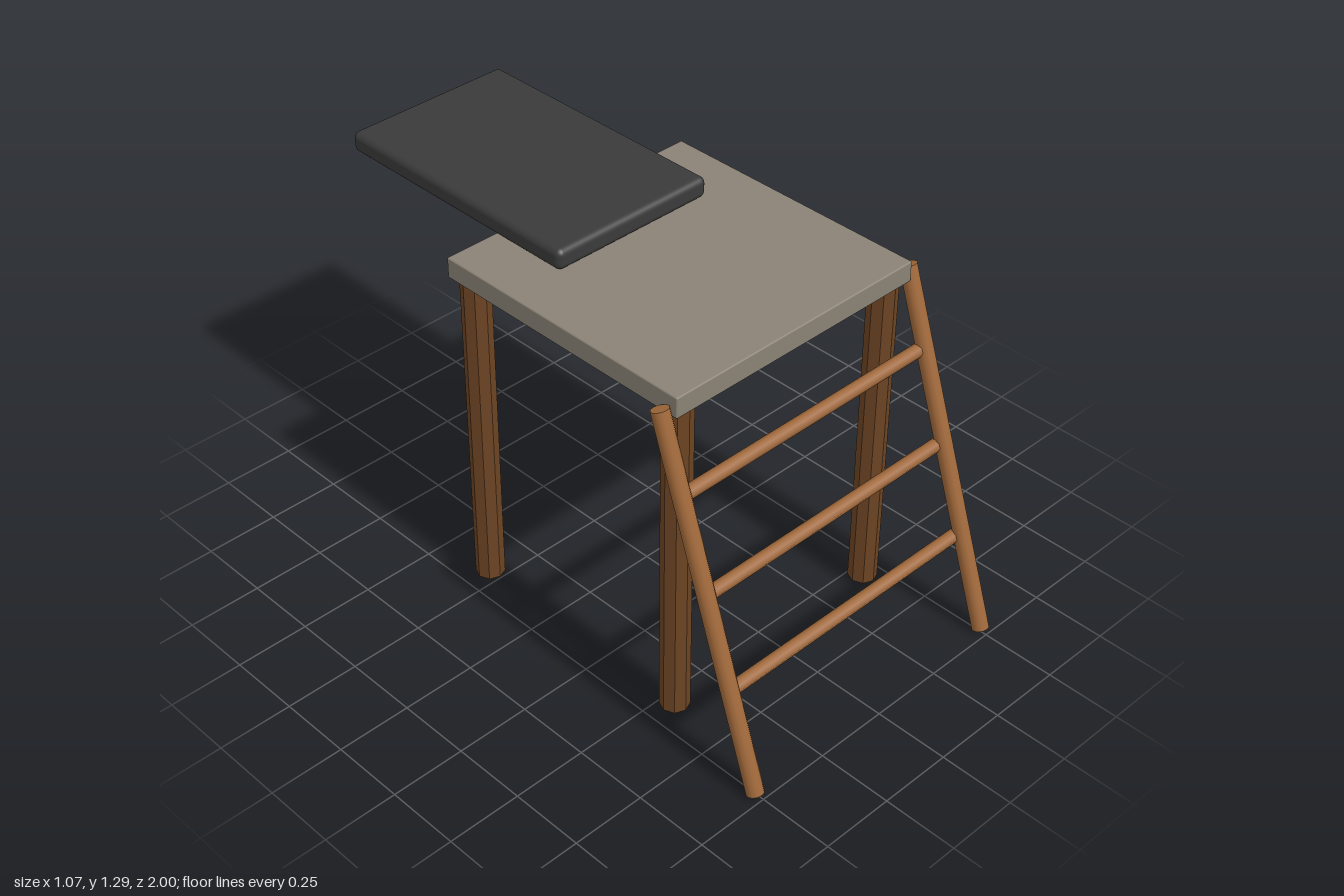
import * as THREE from 'three';
import { RoundedBoxGeometry } from 'three/addons/geometries/RoundedBoxGeometry.js';

const material = (name, color, flatShading = false) => {
  const m = new THREE.MeshStandardMaterial({ color, flatShading });
  m.name = name;
  return m;
};

export function createModel() {
  const group = new THREE.Group();
  const darkWood = material('dark wood', 0x6b4423, true);
  const lightWood = material('light wood', 0xa0683a);
  const boardGrey = material('warm grey board', 0x8a8275);
  const padBlack = material('charcoal pad', 0x3a3a3a);

  const add = (name, geometry, mat, x, y, z) => {
    const mesh = new THREE.Mesh(geometry, mat);
    mesh.name = name;
    mesh.position.set(x, y, z);
    group.add(mesh);
    return mesh;
  };

  // Flat platform and the cushion overhanging its back edge
  add('platform', new RoundedBoxGeometry(0.955, 0.07, 0.95, 2, 0.005), boardGrey, 0, 1.18, 0.135);
  add('pad', new RoundedBoxGeometry(0.6, 0.07, 0.95, 4, 0.022), padBlack, 0, 1.25, -0.525);

  // Four upright legs
  const legGeometry = new THREE.CylinderGeometry(0.047, 0.047, 1.125, 8);
  for (const side of [-1, 1]) {
    add('frontLeg', legGeometry, darkWood, side * 0.42, 0.5825, 0.555);
    add('backLeg', legGeometry, darkWood, side * 0.42, 0.5825, -0.285);
  }

  // Leaning ladder rails
  const bottom = new THREE.Vector3(0, 0.009, 0.972);
  const top = new THREE.Vector3(0, 1.176, 0.573);
  const along = top.clone().sub(bottom);
  const middle = top.clone().add(bottom).multiplyScalar(0.5);
  const railGeometry = new THREE.CylinderGeometry(0.028, 0.028, along.length(), 12);
  for (const side of [-1, 1]) {
    const rail = add('ladderRail', railGeometry, lightWood, side * 0.505, middle.y, middle.z);
    rail.rotation.x = Math.atan2(along.z, along.y);
  }

  // Ladder rungs
  const rungGeometry = new THREE.CylinderGeometry(0.022, 0.022, 1.0, 8);
  rungGeometry.rotateZ(Math.PI / 2);
  for (const [y, z] of [[0.318, 0.847], [0.617, 0.75], [0.918, 0.653]]) {
    add('ladderRung', rungGeometry, lightWood, 0, y, z);
  }

  return group;
}
